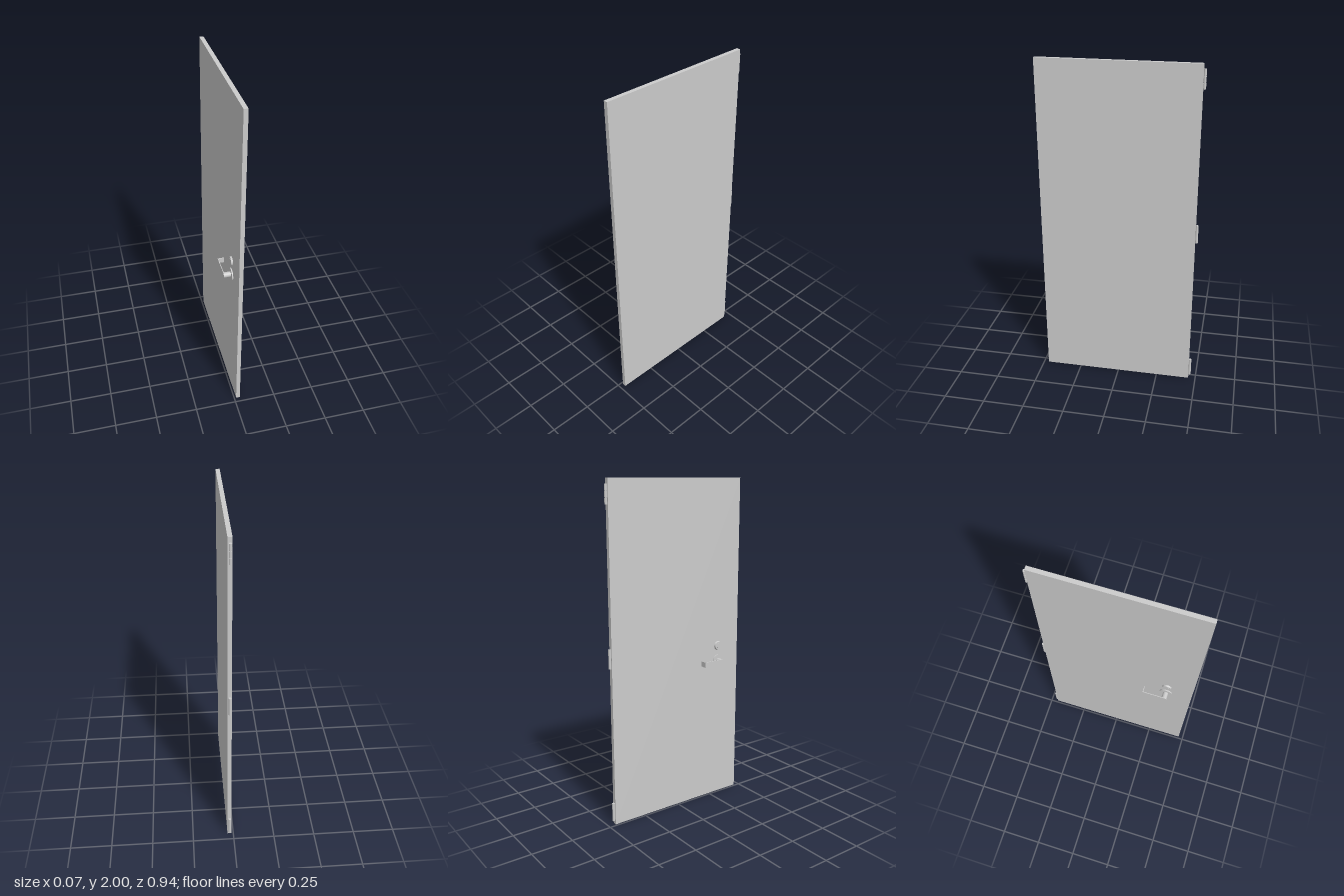
import * as THREE from 'three';

const material = new THREE.MeshStandardMaterial({ color: 0xcccccc });

function add(parent, name, geometry, x, y, z) {
  const mesh = new THREE.Mesh(geometry, material);
  mesh.name = name;
  mesh.position.set(x, y, z);
  parent.add(mesh);
  return mesh;
}

// Box given by its limits on each axis
function block(parent, name, x0, x1, y0, y1, z0, z1) {
  return add(parent, name, new THREE.BoxGeometry(x1 - x0, y1 - y0, z1 - z0),
    (x0 + x1) / 2, (y0 + y1) / 2, (z0 + z1) / 2);
}

// Round part lying along x, between x0 (outer end) and x1 (door side)
function disc(parent, name, r0, r1, x0, x1, y, z) {
  const geometry = new THREE.CylinderGeometry(r1, r0, x1 - x0, 32).rotateZ(-Math.PI / 2);
  return add(parent, name, geometry, (x0 + x1) / 2, y, z);
}

// Hinge barrel split into knuckles around a thinner pin
function hinge(parent, name, y, knuckles, gap) {
  const group = new THREE.Group();
  group.name = name;
  const height = 0.112, step = height / knuckles;
  for (let i = 0; i < knuckles; i++) {
    add(group, 'hingeKnuckle', new THREE.CylinderGeometry(0.008, 0.008, step - gap, 20),
      0.022, y - height / 2 + step * (i + 0.5), -0.462);
  }
  add(group, 'hingePin', new THREE.CylinderGeometry(0.006, 0.006, height - 0.004, 16), 0.022, y, -0.462);
  parent.add(group);
}

export function createModel() {
  const door = new THREE.Group();
  door.name = 'door';

  block(door, 'doorPanel', 0.012, 0.036, 0, 2, -0.455, 0.47);

  // Hinges along the back edge
  hinge(door, 'topHinge', 1.917, 3, 0.004);
  hinge(door, 'middleHinge', 1.014, 1, 0);
  hinge(door, 'bottomHinge', 0.079, 1, 0);

  // Lever handle: rosette, spindle, flat lever and its return towards the door
  const handle = new THREE.Group();
  handle.name = 'leverHandle';
  const y = 0.889, z = 0.312;
  disc(handle, 'rosette', 0.038, 0.038, 0.005, 0.012, y, z);
  disc(handle, 'spindle', 0.016, 0.016, -0.037, 0.005, y, z);
  block(handle, 'lever', -0.037, -0.033, y - 0.016, y + 0.016, 0.178, z);
  block(handle, 'leverReturn', -0.037, 0, y - 0.016, y + 0.016, 0.177, 0.181);
  door.add(handle);

  // Deadbolt lock above the handle
  const lock = new THREE.Group();
  lock.name = 'deadbolt';
  disc(lock, 'lockCollar', 0.025, 0.028, 0.002, 0.012, 0.985, z);
  disc(lock, 'lockCylinder', 0.014, 0.014, 0.001, 0.003, 0.985, z);
  door.add(lock);

  return door;
}
